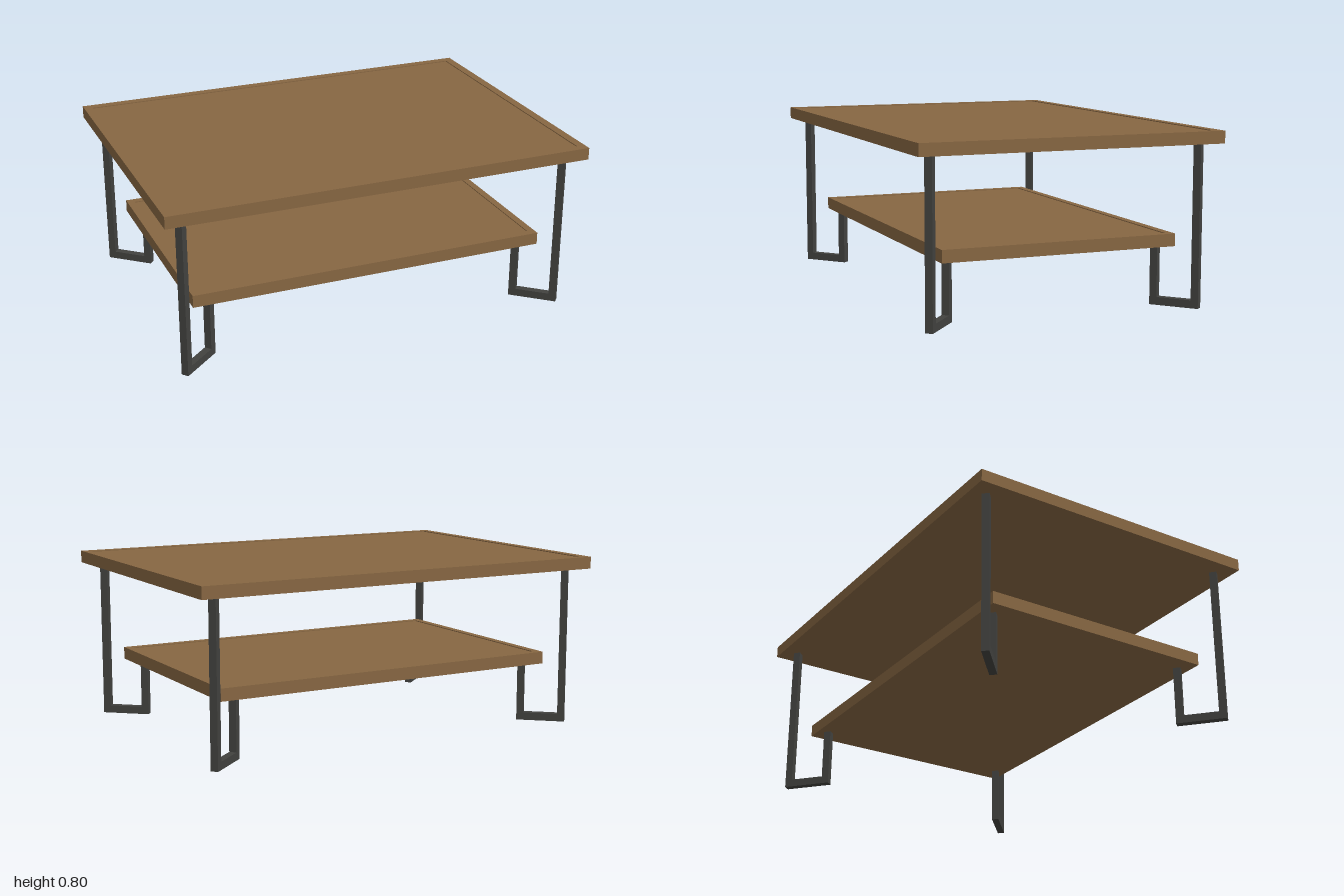
import * as THREE from 'three';

export function createModel() {
  const wood = new THREE.MeshStandardMaterial({ color: 0x866642 });
  wood.name = 'brown wood';
  const metal = new THREE.MeshStandardMaterial({ color: 0x42423f });
  metal.name = 'dark metal';
  const model = new THREE.Group();
  model.name = 'coffeeTable';

  // Wooden board: a frame around a slightly sunken panel
  function board(name, width, depth, bottom, top, rim) {
    const group = new THREE.Group();
    group.name = name;
    const w = width / 2, d = depth / 2, iw = w - rim, id = d - rim;
    const outline = new THREE.Shape([[-w, -d], [w, -d], [w, d], [-w, d]].map(p => new THREE.Vector2(...p)));
    outline.holes.push(new THREE.Path([[-iw, -id], [-iw, id], [iw, id], [iw, -id]].map(p => new THREE.Vector2(...p))));
    const frameGeometry = new THREE.ExtrudeGeometry(outline, { depth: top - bottom, bevelEnabled: false });
    frameGeometry.rotateX(-Math.PI / 2);
    const frame = new THREE.Mesh(frameGeometry, wood);
    frame.name = name + 'Frame';
    frame.position.y = bottom;
    const height = top - bottom - 0.004;
    const panel = new THREE.Mesh(new THREE.BoxGeometry(iw * 2, height, id * 2), wood);
    panel.name = name + 'Panel';
    panel.position.y = bottom + height / 2;
    group.add(frame, panel);
    model.add(group);
  }
  board('tableTop', 2, 1.41, 0.74, 0.796, 0.04);
  board('lowerShelf', 1.7, 1.104, 0.274, 0.331, 0.035);

  // J-shaped legs, turned towards the corners: tall outer post, foot, short inner post
  const bar = 0.034;
  const inner = new THREE.Vector2(0.764, 0.499);
  const outer = new THREE.Vector2(0.911, 0.626);
  const step = outer.clone().sub(inner);
  const a = -bar / 2, b = step.length() + bar / 2;
  const profile = new THREE.Shape([
    [a, 0], [b, 0], [b, 0.742], [b - bar, 0.742],
    [b - bar, 0.036], [a + bar, 0.036], [a + bar, 0.276], [a, 0.276],
  ].map(p => new THREE.Vector2(...p)));
  const legGeometry = new THREE.ExtrudeGeometry(profile, { depth: bar, bevelEnabled: false });
  legGeometry.translate(0, 0, -bar / 2);

  for (const sx of [1, -1]) {
    for (const sz of [1, -1]) {
      const leg = new THREE.Mesh(legGeometry, metal);
      leg.name = (sz > 0 ? 'front' : 'back') + (sx > 0 ? 'Left' : 'Right') + 'Leg';
      leg.position.set(sx * inner.x, 0, sz * inner.y);
      leg.rotation.y = Math.atan2(-sz * step.y, sx * step.x);
      model.add(leg);
    }
  }
  return model;
}
